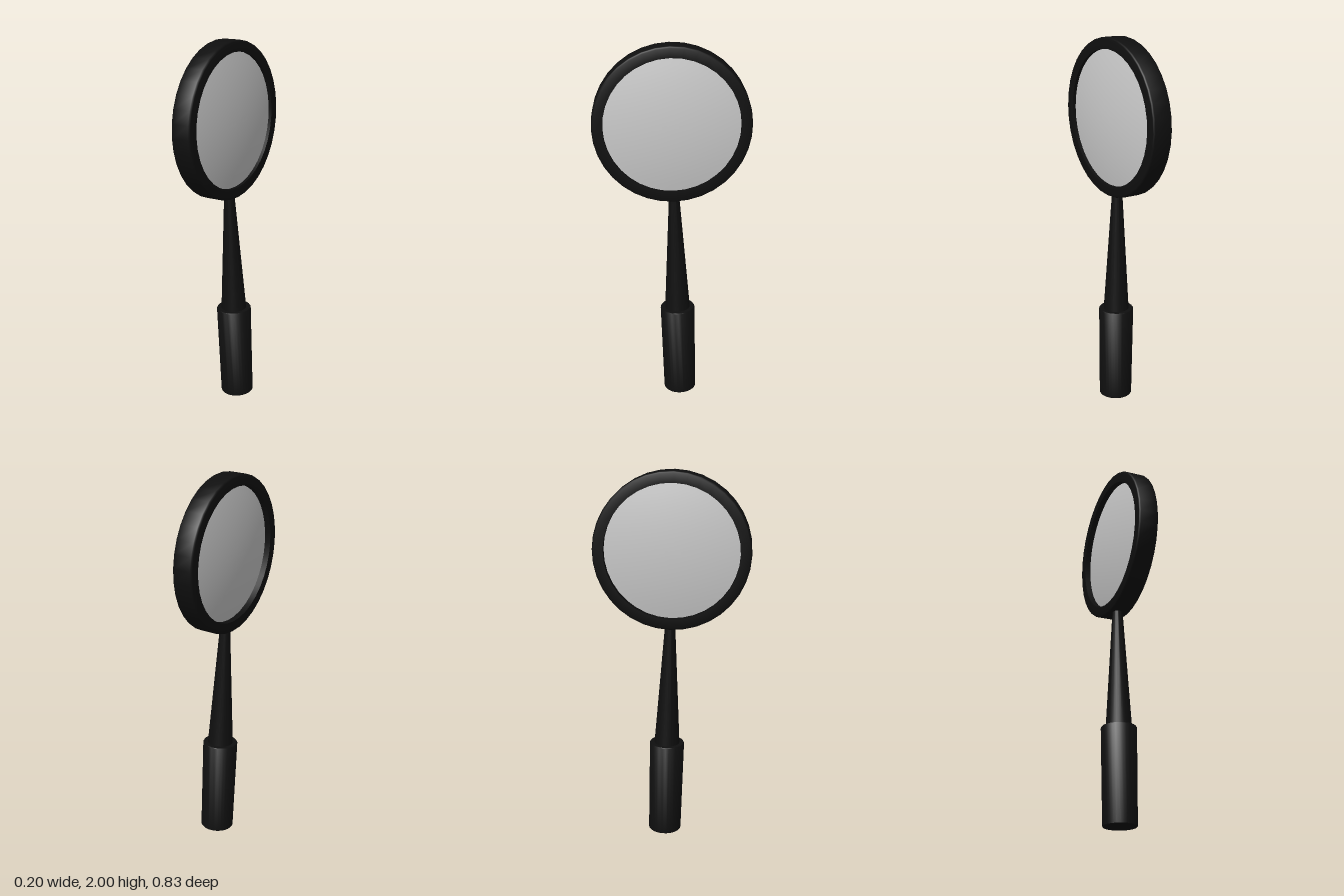
import * as THREE from 'three';
import { toCreasedNormals } from 'three/addons/utils/BufferGeometryUtils.js';

const black = new THREE.MeshStandardMaterial({ color: 0x0f0f0f });
const grey = new THREE.MeshStandardMaterial({ color: 0xcccccc });

// Solid of revolution around local y, from [radius, height] pairs
function lathe(pairs, sides, crease) {
  const points = pairs.map(([r, y]) => new THREE.Vector2(r, y));
  return toCreasedNormals(new THREE.LatheGeometry(points, sides), crease);
}

function addPart(parent, name, geometry, material) {
  const mesh = new THREE.Mesh(geometry, material);
  mesh.name = name;
  parent.add(mesh);
  return mesh;
}

// Curved lens face: height falls off with the square of the radius
function lensProfile(radius, backPeak, frontPeak, sag, steps) {
  const back = [], front = [];
  for (let i = 0; i <= steps; i++) {
    const t = i / steps;
    back.push([radius * t, -backPeak + sag * t * t]);
    front.unshift([radius * t, frontPeak - sag * t * t]);
  }
  return [...back, ...front];
}

export function createModel() {
  const model = new THREE.Group();
  model.name = 'magnifyingGlass';

  // The whole tool leans slightly about both horizontal axes
  const tool = new THREE.Group();
  tool.name = 'leaningTool';
  const up = new THREE.Vector3(-0.027, 1, 0.0285).normalize();
  const side = new THREE.Vector3(1, 0.027, 0.017);
  side.addScaledVector(up, -side.dot(up)).normalize();
  const forward = new THREE.Vector3().crossVectors(side, up);
  tool.quaternion.setFromRotationMatrix(new THREE.Matrix4().makeBasis(side, up, forward));
  tool.position.set(0.0085, 0.004, -0.045);
  model.add(tool);

  // Grip with slightly eased edges
  addPart(tool, 'grip', lathe([
    [0, 0], [0.086, 0], [0.089, 0.004],
    [0.094, 0.513], [0.091, 0.518], [0, 0.518],
  ], 32, 0.6), black);

  // Tapered neck between grip and rim
  addPart(tool, 'neck', lathe([
    [0, 0.51], [0.069, 0.51], [0.027, 1.185], [0, 1.185],
  ], 32, 0.6), black);

  // Lens head, its axis turned to face sideways
  const head = new THREE.Group();
  head.name = 'head';
  head.position.set(0.006, 1.583, 0);
  head.rotation.z = -Math.PI / 2;
  tool.add(head);

  const outer = 0.413, inner = 0.355, half = 0.055, bevel = 0.009;
  addPart(head, 'rim', lathe([
    [inner, -half], [outer - bevel, -half],
    [outer - bevel * 0.3, -half + bevel * 0.3], [outer, -half + bevel],
    [outer, half - bevel], [outer - bevel * 0.3, half - bevel * 0.3],
    [outer - bevel, half], [inner, half], [inner, -half],
  ], 36, 0.9), black);

  addPart(head, 'lens', lathe(lensProfile(0.356, 0.055, 0.07, 0.033, 10), 48, 0.6), grey);

  return model;
}
